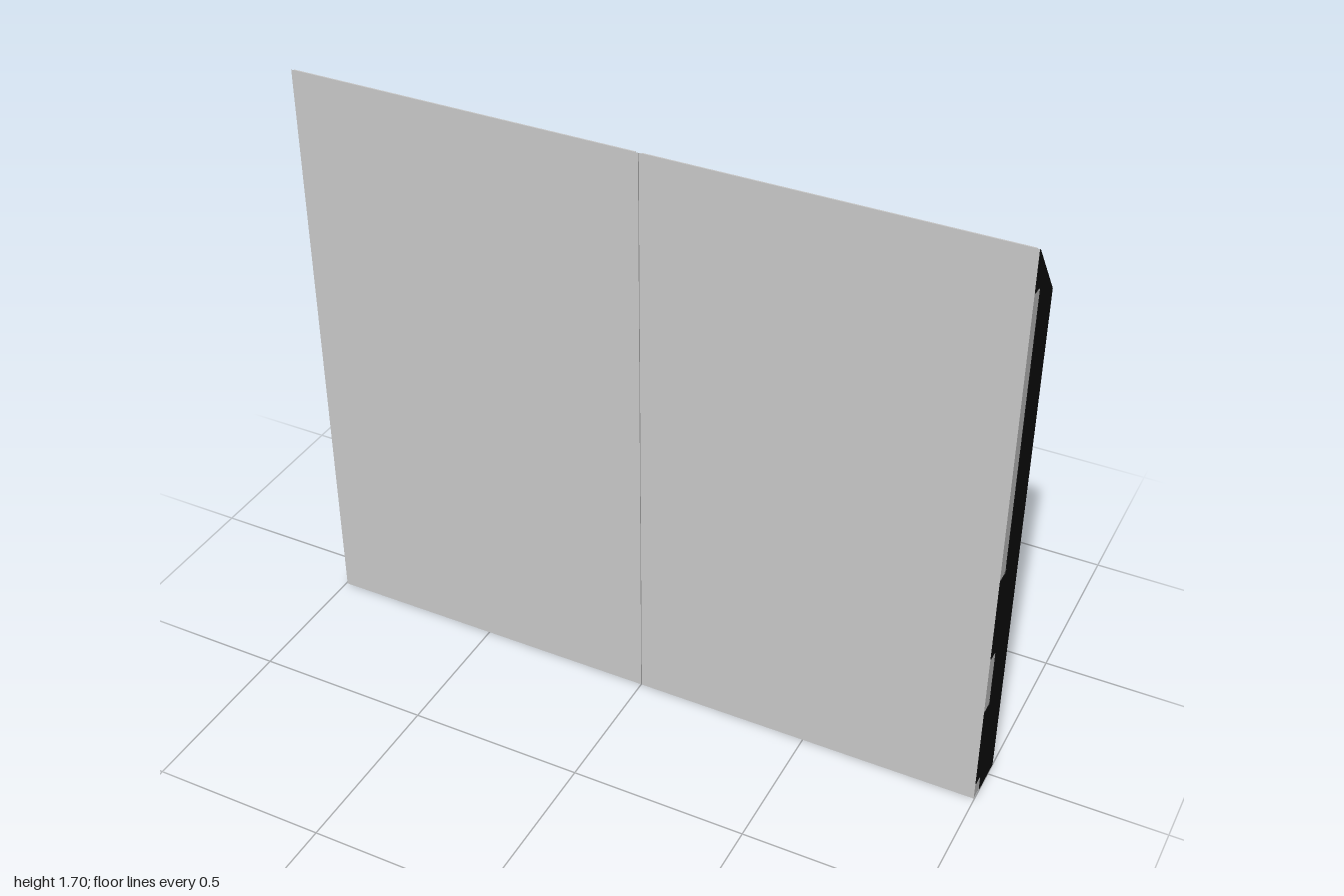
import * as THREE from 'three';

const grey = new THREE.MeshStandardMaterial({ name: 'grey', color: 0xc8c8c8 });
const black = new THREE.MeshStandardMaterial({ name: 'black', color: 0x0d0d0d });

const FRONT = 0.105, BACK = -0.04, TOP = 1.7, BACK_TOP = 1.52, WALL = 0.007;

function add(parent, name, geometry, material = grey) {
  const mesh = new THREE.Mesh(geometry, material);
  mesh.name = name;
  parent.add(mesh);
  return mesh;
}

// Box given by its limits on each axis
function block(x0, x1, y0, y1, z0, z1) {
  return new THREE.BoxGeometry(x1 - x0, y1 - y0, z1 - z0)
    .translate((x0 + x1) / 2, (y0 + y1) / 2, (z0 + z1) / 2);
}

// Profile of [z, y] points swept along x from x0 to x1
function sweepX(points, x0, x1) {
  const shape = new THREE.Shape(points.map(([z, y]) => new THREE.Vector2(z, y)));
  return new THREE.ExtrudeGeometry(shape, { depth: x1 - x0, bevelEnabled: false })
    .rotateY(-Math.PI / 2).translate(x1, 0, 0);
}

const sideProfile = [[BACK, 0], [FRONT, 0], [FRONT, TOP], [BACK, BACK_TOP]];

// Sloping lip behind the top front edge, its ends drawn in towards the back
function lipGeometry(x0, x1) {
  const g = sweepX([[FRONT - 0.002, TOP - 0.002], [0.04, 1.585], [0.065, 1.54], [FRONT - 0.002, 1.54]], x0, x1);
  const p = g.attributes.position, mid = (x0 + x1) / 2;
  for (let i = 0; i < p.count; i++) {
    const inset = 0.02 * (FRONT - p.getZ(i)) / (FRONT - 0.04);
    p.setX(i, p.getX(i) - Math.sign(p.getX(i) - mid) * inset);
  }
  g.computeVertexNormals();
  return g;
}

// Stepped round knob, pointing backwards
function knobGeometry() {
  const profile = [[0, 0], [0.074, 0], [0.072, 0.045], [0.065, 0.088], [0.065, 0.088],
    [0.048, 0.088], [0.048, 0.088], [0.044, 0.11], [0.044, 0.11], [0, 0.11]];
  return new THREE.LatheGeometry(profile.map(([r, y]) => new THREE.Vector2(r, y)), 32)
    .rotateX(-Math.PI / 2);
}

// One tall bin between x0 and x1
function makeBin(name, x0, x1, lipMaterial) {
  const bin = new THREE.Group();
  bin.name = name;
  add(bin, 'rightWall', sweepX(sideProfile, x0, x0 + WALL));
  add(bin, 'leftWall', sweepX(sideProfile, x1 - WALL, x1));
  const a = x0 + WALL, b = x1 - WALL;
  add(bin, 'frontPanel', block(a, b, 0, TOP, FRONT - 0.004, FRONT));
  add(bin, 'innerFrontBoard', block(a, b, WALL, 1.54, 0.065, FRONT - 0.004));
  add(bin, 'openingLip', lipGeometry(a, b), lipMaterial);
  add(bin, 'floor', block(a, b, 0, WALL, BACK, FRONT - 0.004));
  add(bin, 'upperBackPanel', block(a, b, 0.845, BACK_TOP, BACK, BACK + WALL));

  // Door with its knob and two hinge barrels
  const door = new THREE.Group();
  door.name = 'door';
  add(door, 'doorPanel', block(x0 + 0.003, b, 0.004, 0.837, BACK - 0.002, BACK + 0.006));
  add(door, 'knob', knobGeometry()).position.set(x0 + 0.817, 0.4, 0);
  for (const y of [0.215, 0.608]) {
    add(door, 'hinge', new THREE.CylinderGeometry(0.009, 0.009, 0.214, 12))
      .position.set(x0 + 0.004, y, BACK - 0.005);
  }
  bin.add(door);
  return bin;
}

export function createModel() {
  const model = new THREE.Group();
  model.name = 'doubleBin';
  model.add(makeBin('rightBin', -0.996, 0, black));
  model.add(makeBin('leftBin', 0.002, 0.998, grey));

  // Dark side plate with chamfered notches along its front edge
  const outline = [[BACK, 0], [0.065, 0]];
  for (const [y0, y1] of [[0, 0.055], [0.31, 0.495], [0.75, 1.585]]) {
    if (y0 > 0) outline.push([FRONT, y0], [0.073, y0], [0.065, y0 + 0.012]);
    outline.push([0.065, y1 - 0.012], [0.073, y1], [FRONT, y1]);
  }
  outline.push([FRONT, TOP], [BACK, BACK_TOP]);
  add(model, 'sidePlate', sweepX(outline, 0.998, 1), black);
  return model;
}
